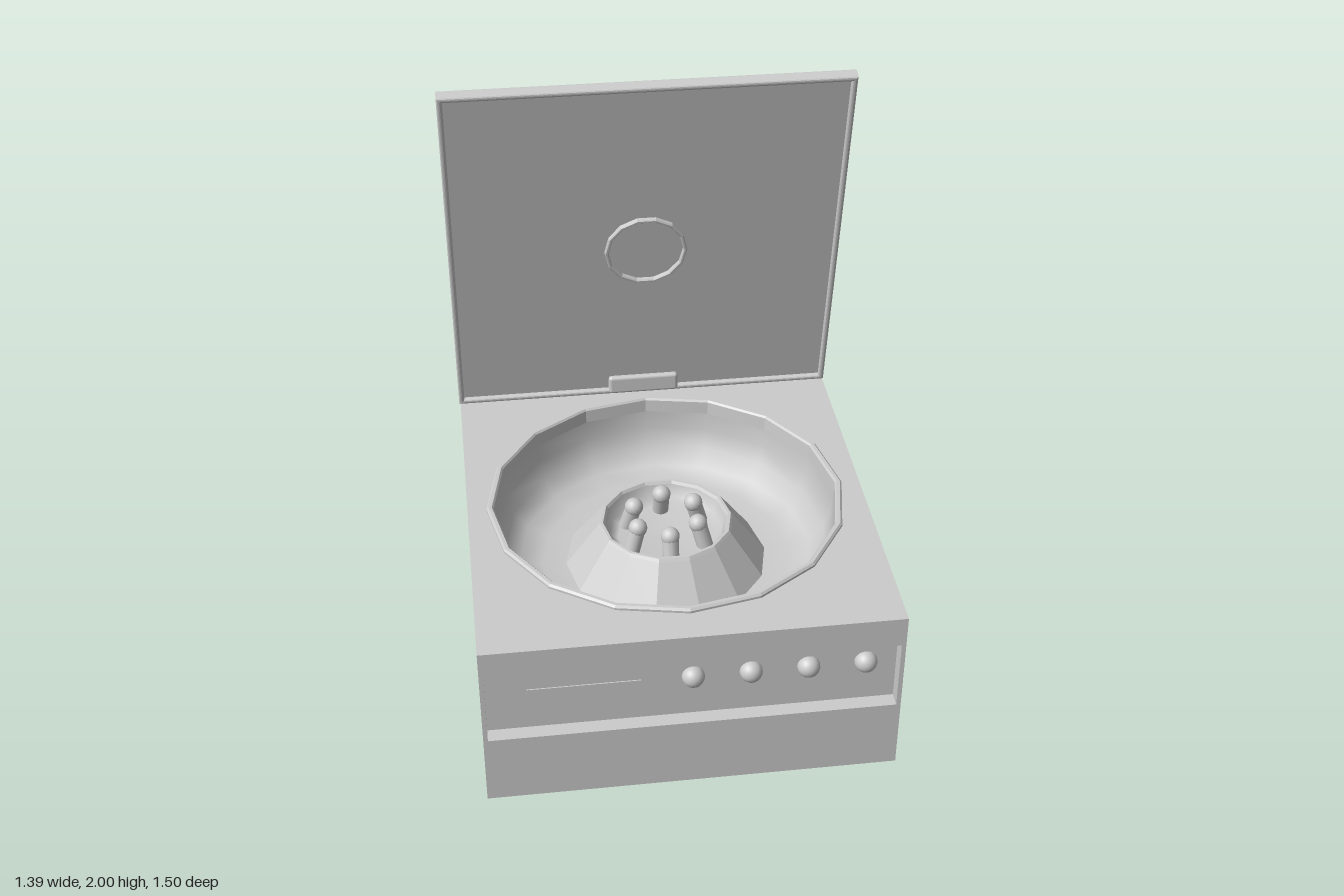
import * as THREE from 'three';
import { RoundedBoxGeometry } from 'three/addons/geometries/RoundedBoxGeometry.js';

const smooth = new THREE.MeshStandardMaterial({ color: 0xcccccc, side: THREE.DoubleSide });
const faceted = new THREE.MeshStandardMaterial({ color: 0xcccccc, side: THREE.DoubleSide, flatShading: true });
const CZ = 0.01; // z of the bowl axis

function add(parent, name, geometry, x = 0, y = 0, z = 0, material = smooth) {
  const mesh = new THREE.Mesh(geometry, material);
  mesh.name = name;
  mesh.position.set(x, y, z);
  parent.add(mesh);
  return mesh;
}

const vec = (pts) => pts.map(([a, b]) => new THREE.Vector2(a, b));
const lathe = (pts, sides) => new THREE.LatheGeometry(vec(pts), sides);

// Horizontal slab from an x/z outline, with the round well cut out
function slab(outline, y0, y1) {
  const shape = new THREE.Shape(vec(outline.map(([x, z]) => [x, -z])));
  const well = [];
  for (let i = 0; i < 16; i++) {
    const a = (i / 16) * Math.PI * 2;
    well.push([0.61 * Math.sin(a), -CZ - 0.61 * Math.cos(a)]);
  }
  shape.holes.push(new THREE.Path(vec(well)));
  const g = new THREE.ExtrudeGeometry(shape, { depth: y1 - y0, bevelEnabled: false });
  g.rotateX(-Math.PI / 2);
  g.translate(0, y0, 0);
  return g;
}

function rect(Type, x0, y0, x1, y1) {
  return new Type(vec([[x0, y0], [x1, y0], [x1, y1], [x0, y1]]));
}

function createBody() {
  const body = new THREE.Group();
  body.name = 'body';
  const X = 0.69, F = 0.75, B = -0.72;

  // Solid base, notched middle that holds the control panel, and top
  add(body, 'base', new THREE.BoxGeometry(2 * X, 0.26, F - B), 0, 0.13, (F + B) / 2);
  add(body, 'middleShell', slab([[-X, B], [X, B], [X, F], [0.675, F], [0.675, 0.7],
    [-0.675, 0.7], [-0.675, F], [-X, F]], 0.26, 0.52));
  add(body, 'topShell', slab([[-X, B], [X, B], [X, F], [-X, F]], 0.52, 0.63));

  // Control panel with display and knobs
  add(body, 'controlPanel', new THREE.BoxGeometry(1.33, 0.24, 0.01), 0, 0.39, 0.702);
  add(body, 'display', new THREE.BoxGeometry(0.37, 0.085, 0.01), -0.355, 0.388, 0.706);
  for (let i = 0; i < 4; i++) {
    add(body, 'knob', new THREE.SphereGeometry(0.038, 20, 14), 0.19 * i, 0.43, 0.712);
  }
  return body;
}

function createBowl() {
  const bowl = new THREE.Group();
  bowl.name = 'bowl';
  bowl.position.z = CZ;

  add(bowl, 'rim', lathe([[0.625, 0.62], [0.625, 0.638], [0.618, 0.645], [0.606, 0.645],
    [0.6, 0.638], [0.597, 0.59]], 16), 0, 0, 0, faceted);
  add(bowl, 'basin', lathe([[0.597, 0.59], [0.592, 0.52], [0.57, 0.45], [0.52, 0.395],
    [0.44, 0.372], [0.34, 0.37]], 16));

  // Central hub with a cup in its top
  const hub = add(bowl, 'hub', lathe([[0.36, 0.365], [0.24, 0.53], [0.232, 0.54],
    [0.222, 0.54], [0.215, 0.53]], 14), 0, 0, 0, faceted);
  const cup = add(bowl, 'cup', lathe([[0.215, 0.53], [0.2, 0.485], [0.17, 0.465], [0, 0.46]], 14));
  hub.rotation.y = cup.rotation.y = Math.PI / 2;

  // Six pegs leaning inward
  for (let i = 0; i < 6; i++) {
    const pivot = new THREE.Group();
    pivot.name = 'peg';
    pivot.rotation.y = (i * Math.PI) / 3;
    const stem = add(pivot, 'pegStem', new THREE.CylinderGeometry(0.029, 0.029, 0.1, 12), 0, 0.505, 0.137);
    stem.rotation.x = -0.3;
    add(pivot, 'pegTip', new THREE.SphereGeometry(0.033, 14, 10), 0, 0.553, 0.122);
    bowl.add(pivot);
  }
  return bowl;
}

function createLid() {
  const lid = new THREE.Group();
  lid.name = 'lid';
  lid.position.set(0, 0.632, -0.687);
  lid.rotation.x = 0.192;

  // Rounded frame around a slightly sunken panel
  const b = 0.008;
  const shape = rect(THREE.Shape, -0.695 + b, b, 0.695 - b, 1.39 - b);
  shape.holes.push(rect(THREE.Path, -0.675 - b, 0.02 - b, 0.675 + b, 1.37 + b));
  const frame = new THREE.ExtrudeGeometry(shape, {
    depth: 0.048 - 2 * b, bevelThickness: b, bevelSize: b, bevelSegments: 3,
  });
  add(lid, 'lidFrame', frame, 0, 0, -0.024 + b);
  add(lid, 'lidPanel', new THREE.BoxGeometry(1.36, 1.36, 0.03), 0, 0.695, -0.0085);

  // Raised clamp ring
  const ring = lathe([[0.147, 0], [0.147, 0.012], [0.143, 0.016], [0.137, 0.016],
    [0.133, 0.012], [0.133, 0]], 14);
  ring.rotateY(Math.PI / 2);
  ring.rotateX(Math.PI / 2);
  add(lid, 'clampRing', ring, 0, 0.69, 0.0065, faceted);
  return lid;
}

export function createModel() {
  const model = new THREE.Group();
  model.name = 'spinnerMachine';
  model.add(createBody(), createBowl(), createLid());
  // Hinge block passing through the foot of the lid
  add(model, 'hinge', new RoundedBoxGeometry(0.26, 0.072, 0.1, 3, 0.012), 0, 0.672, -0.698);
  return model;
}
